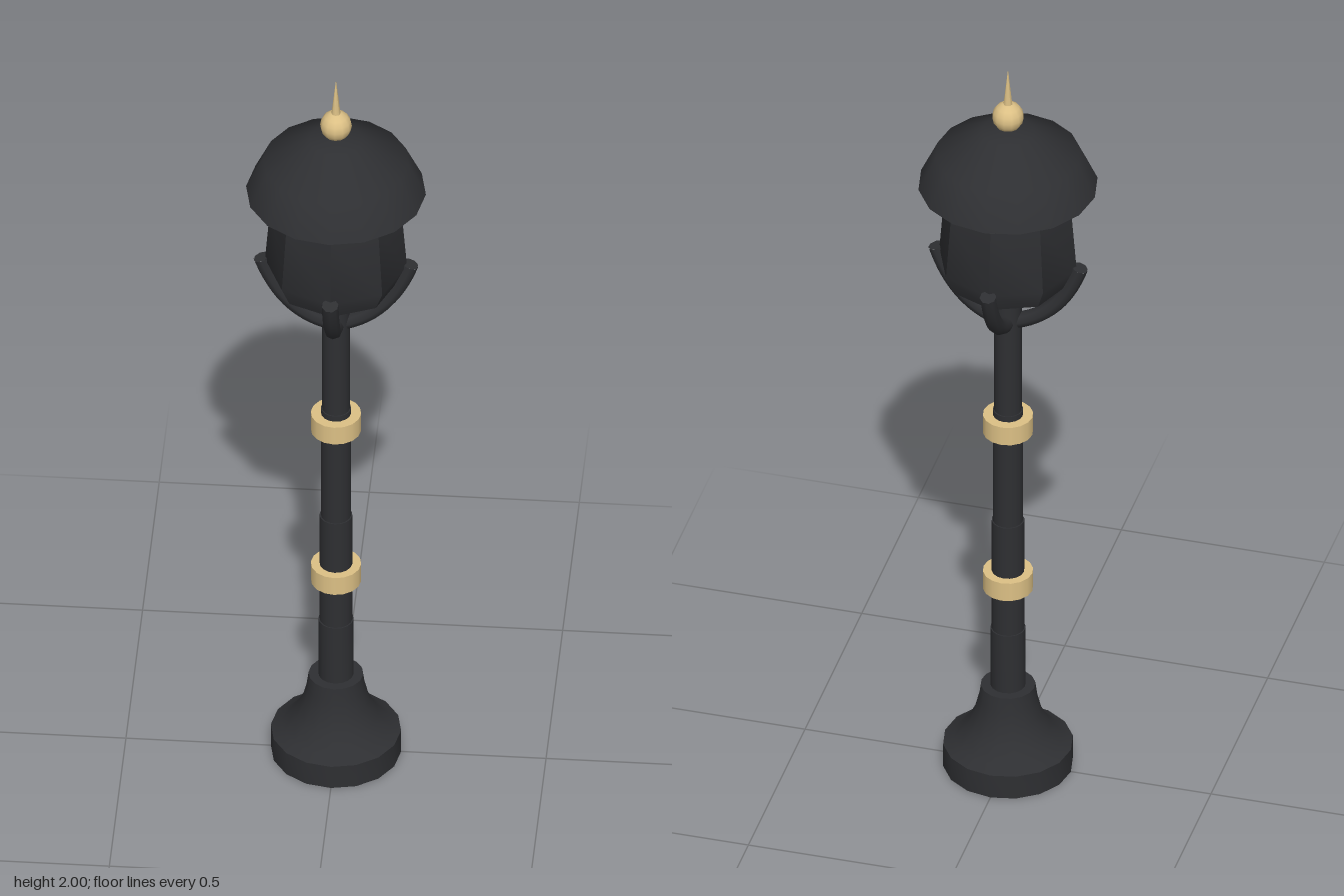
import * as THREE from 'three';
import { toCreasedNormals } from 'three/addons/utils/BufferGeometryUtils.js';

const iron = new THREE.MeshStandardMaterial({ color: 0x2e2f32 });
const ironShell = new THREE.MeshStandardMaterial({ color: 0x2e2f32, side: THREE.DoubleSide });
const brass = new THREE.MeshStandardMaterial({ color: 0xdcc085 });

export function createModel() {
  const model = new THREE.Group();
  model.name = 'streetLamp';

  function add(name, geometry, material, y = 0) {
    const mesh = new THREE.Mesh(geometry, material);
    mesh.name = name;
    mesh.position.y = y;
    model.add(mesh);
    return mesh;
  }

  // Turned part from [radius, height] pairs, bottom to top, with sharp creases
  function turned(name, profile, sides, material) {
    const points = profile.map(([r, y]) => new THREE.Vector2(r, y));
    return add(name, toCreasedNormals(new THREE.LatheGeometry(points, sides), 0.6), material);
  }

  // Flared foot
  turned('base', [[0, 0], [0.155, 0], [0.155, 0.063], [0.13, 0.077], [0.1, 0.11],
    [0.08, 0.15], [0.07, 0.19], [0.065, 0.226], [0, 0.226]], 16, iron);

  // Post in stepped sections
  turned('post', [[0.042, 0.2], [0.042, 0.39], [0.039, 0.39], [0.039, 0.7], [0.036, 0.7],
    [0.036, 1.02], [0.033, 1.02], [0.033, 1.38], [0, 1.38]], 16, iron);

  // Brass bands around the post
  for (const [name, y] of [['lowerCollar', 0.53], ['upperCollar', 0.98]]) {
    add(name, new THREE.CylinderGeometry(0.06, 0.06, 0.05, 16), brass, y);
  }

  // Four curved arms cradling the lantern
  const arms = new THREE.Group();
  arms.name = 'arms';
  const armCurve = new THREE.QuadraticBezierCurve3(
    new THREE.Vector3(0, 1.275, 0), new THREE.Vector3(0.125, 1.3, 0), new THREE.Vector3(0.177, 1.46, 0));
  const armGeometry = new THREE.TubeGeometry(armCurve, 14, 0.02, 8);
  const capGeometry = new THREE.CircleGeometry(0.02, 8);
  const tipDirection = armCurve.getTangent(1);
  for (let i = 0; i < 4; i++) {
    const arm = new THREE.Group();
    arm.name = 'arm';
    const tip = new THREE.Mesh(capGeometry, iron);
    tip.name = 'armTip';
    tip.position.copy(armCurve.v2);
    tip.quaternion.setFromUnitVectors(new THREE.Vector3(0, 0, 1), tipDirection);
    const tube = new THREE.Mesh(armGeometry, iron);
    tube.name = 'armTube';
    arm.add(tube, tip);
    arm.rotation.y = i * Math.PI / 2;
    arms.add(arm);
  }
  model.add(arms);

  // Eight-sided lantern shell, open below, with the bulb inside
  turned('lantern', [[0.145, 1.402], [0.169, 1.455], [0.155, 1.628], [0.1, 1.672], [0.08, 1.69]],
    8, ironShell);
  add('bulb', new THREE.SphereGeometry(0.09, 16, 12), brass, 1.46);

  // Domed roof with a flat underside
  turned('roof', [[0, 1.67], [0.214, 1.67], [0.173, 1.757], [0.063, 1.822], [0, 1.832]],
    16, iron).geometry = toCreasedNormals(new THREE.LatheGeometry(
    [[0, 1.67], [0.214, 1.67], [0.173, 1.757], [0.063, 1.822], [0, 1.832]]
      .map(([r, y]) => new THREE.Vector2(r, y)), 16), 0.9);

  // Finial
  add('finialBall', new THREE.SphereGeometry(0.038, 12, 8), brass, 1.865);
  add('finialSpike', new THREE.ConeGeometry(0.012, 0.11, 8), brass, 1.945);

  return model;
}
